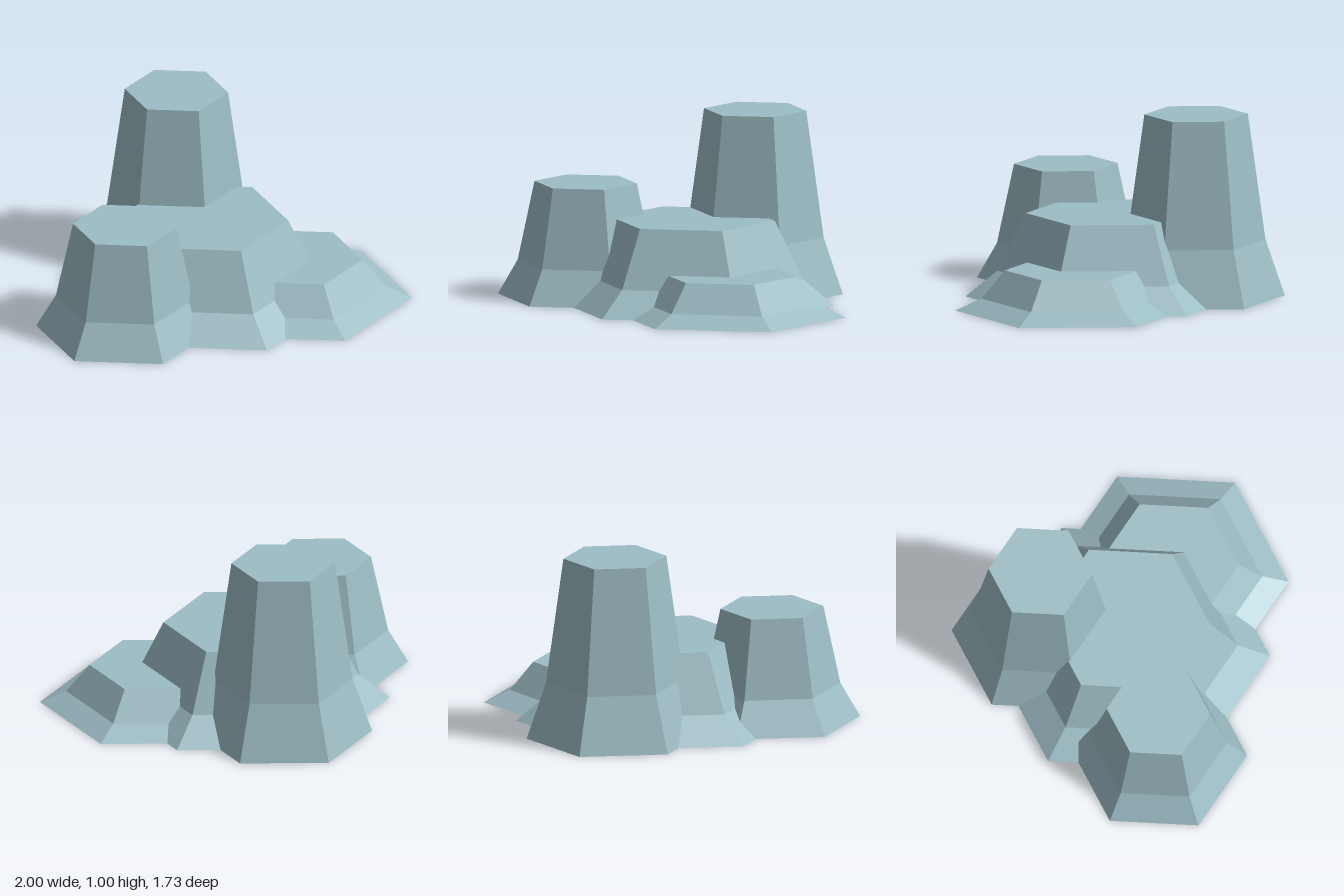
import * as THREE from 'three';

// Six-sided basalt columns with a flared foot: rings are [radius, height] from ground to top
const COLUMNS = [
  { name: 'tallColumn', x: -0.31, z: -0.45, rings: [[0.48, 0], [0.375, 0.31], [0.28, 1]] },
  { name: 'frontColumn', x: -0.52, z: 0.45, rings: [[0.48, 0], [0.372, 0.19], [0.28, 0.622]] },
  { name: 'centralColumn', x: -0.12, z: -0.017, rings: [[0.775, 0], [0.603, 0.14], [0.45, 0.455]] },
  { name: 'lowColumn', x: 0.36, z: -0.047, rings: [[0.638, 0], [0.497, 0.065], [0.37, 0.219]] },
];

function hexColumn(rings) {
  const top = rings[rings.length - 1][1];
  const profile = [[0, 0], ...rings, [0, top]].map(([r, y]) => new THREE.Vector2(r, y));
  // turned so that corners point along the x axis
  return new THREE.LatheGeometry(profile, 6, Math.PI / 6);
}

export function createModel() {
  const group = new THREE.Group();
  group.name = 'rockColumns';
  const stone = new THREE.MeshStandardMaterial({ color: 0x9dbdc5, flatShading: true });
  for (const { name, x, z, rings } of COLUMNS) {
    const column = new THREE.Mesh(hexColumn(rings), stone);
    column.name = name;
    column.position.set(x, 0, z);
    group.add(column);
  }
  return group;
}
